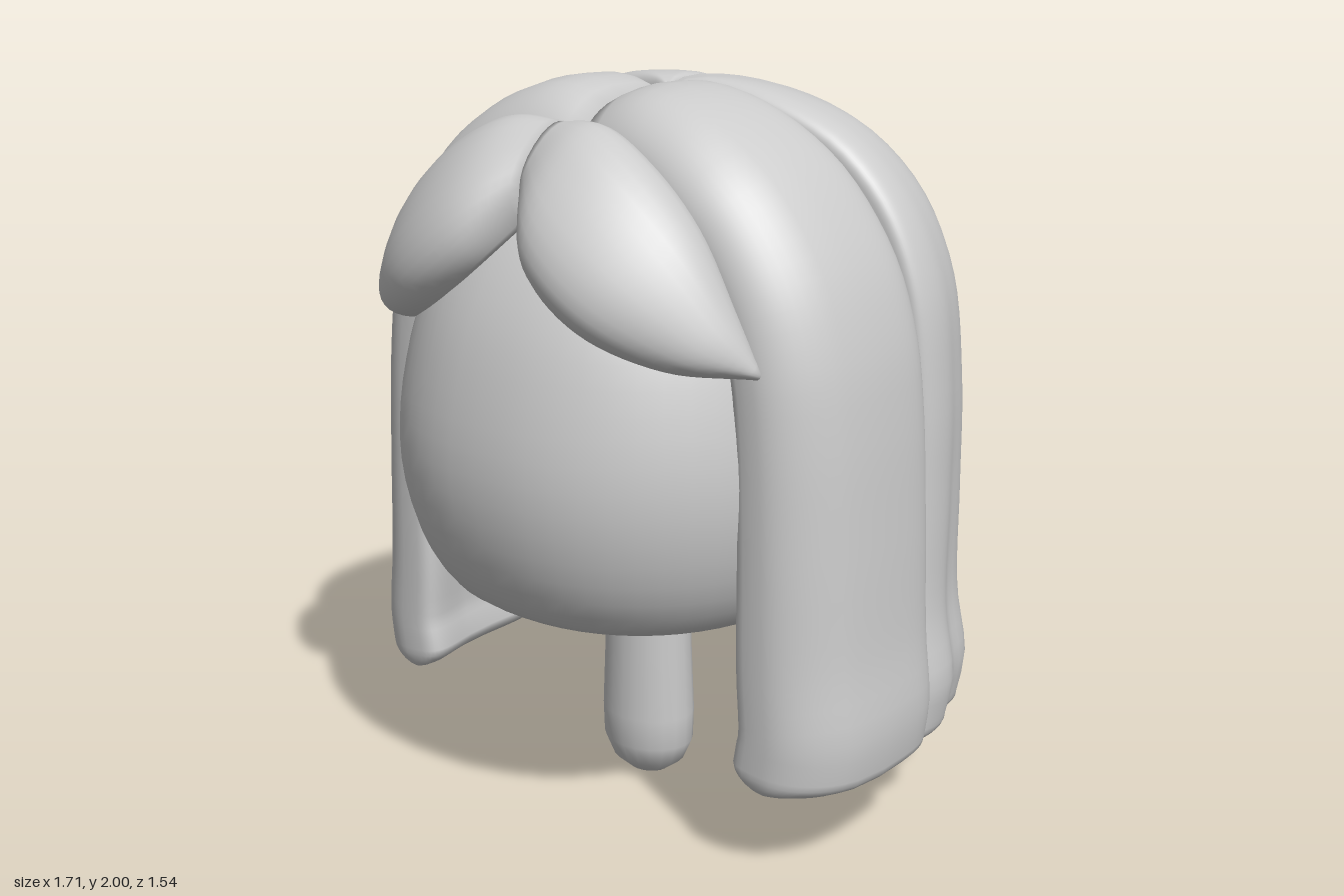
import * as THREE from 'three';

const material = new THREE.MeshStandardMaterial({ color: 0xcccccc, side: THREE.DoubleSide });
const V = (x, y, z = 0) => new THREE.Vector3(x, y, z);
const curve = pts => new THREE.CatmullRomCurve3(pts.map(p => V(...p)));
// signed power, turns a circle into a rounded box outline
const sup = (c, e) => Math.sign(c) * Math.abs(c) ** (2 / e);

// Closed skin over rings of points, capped at both ends; mirror = -1 flips x
function loft(name, rows, cols, point, mirror = 1) {
  const pos = [], idx = [], rings = [];
  for (let i = 0; i <= rows; i++) {
    const ring = [];
    for (let j = 0; j < cols; j++) ring.push(point(i, (j / cols) * Math.PI * 2));
    rings.push(ring);
    ring.forEach(p => pos.push(p.x * mirror, p.y, p.z));
  }
  for (let i = 0; i < rows; i++) for (let j = 0; j < cols; j++) {
    const k = (j + 1) % cols, a = i * cols + j, b = i * cols + k;
    idx.push(a, b, a + cols, b, b + cols, a + cols);
  }
  for (const [r, flip] of [[0, true], [rows, false]]) {
    const c = V(0, 0);
    rings[r].forEach(p => c.addScaledVector(p, 1 / cols));
    const n = pos.length / 3;
    pos.push(c.x * mirror, c.y, c.z);
    for (let j = 0; j < cols; j++) {
      const a = r * cols + j, b = r * cols + (j + 1) % cols;
      idx.push(...(flip ? [n, b, a] : [n, a, b]));
    }
  }
  // turn the faces outward if the enclosed volume is negative
  const at = i => V(pos[i * 3], pos[i * 3 + 1] - 1, pos[i * 3 + 2]);
  let volume = 0;
  for (let i = 0; i < idx.length; i += 3) volume += at(idx[i]).dot(at(idx[i + 1]).cross(at(idx[i + 2])));
  if (volume < 0) idx.reverse();
  const geo = new THREE.BufferGeometry();
  geo.setAttribute('position', new THREE.Float32BufferAttribute(pos, 3));
  geo.setIndex(idx);
  geo.computeVertexNormals();
  const mesh = new THREE.Mesh(geo, material);
  mesh.name = name;
  return mesh;
}

// Point and outward normal along a crown-to-hem profile, with a rounded hem
const ROWS = 46, HEM = 6;
function along(profile, i) {
  const t = Math.min(1, i / (ROWS - HEM));
  const a = Math.max(0, (i - ROWS + HEM) / HEM) * Math.PI / 2;
  const p = profile.getPointAt(t), d = profile.getTangentAt(t);
  const n = V(-d.y * Math.min(1, t * 5), d.x).normalize();
  p.y -= 0.065 * Math.sin(a);
  return { t, p, n, shrink: Math.max(0.02, Math.cos(a)) };
}

const lockProfile = curve([[0, 1.955], [0.06, 1.985], [0.15, 2], [0.28, 1.975], [0.42, 1.91], [0.56, 1.8],
  [0.7, 1.6], [0.77, 1.4], [0.8, 1.2], [0.82, 0.9], [0.835, 0.6], [0.855, 0.4], [0.845, 0.295]]);
const backProfile = curve([[0, 1.965], [0.06, 1.99], [0.2, 1.985], [0.36, 1.94], [0.5, 1.86], [0.63, 1.71],
  [0.715, 1.5], [0.75, 1.2], [0.757, 0.9], [0.762, 0.6], [0.79, 0.4], [0.775, 0.295]]);

// Front side lock: a thick band from the parting down past the cheek
function sideLock(name, m) {
  return loft(name, ROWS, 48, (i, a) => {
    const { t, p, n, shrink } = along(lockProfile, i);
    const h = 0.095 + 0.04 * t * t;
    const u = sup(Math.cos(a), 4) * (0.88 + 0.12 * shrink);
    const s = sup(Math.sin(a), 2.8) * shrink;
    const front = 0.39 + 0.05 * Math.min(1, p.x / 0.5), back = -0.01 - 0.13 * p.x;
    const off = -h + h * s - 0.09 * Math.max(0, u) ** 2;
    return V(Math.max(0, p.x + n.x * off), p.y + n.y * off, (front + back) / 2 + u * (front - back) / 2);
  }, m);
}

// Back quarter: a curved panel from the crown, from the side seam to the back seam
function backPanel(name, m) {
  const a0 = 0.15, a1 = Math.PI / 2;
  return loft(name, ROWS, 96, (i, a) => {
    const { t, p, n, shrink } = along(backProfile, i);
    const h = 0.07;
    const u = sup(Math.cos(a), 5);
    const s = sup(Math.sin(a), 3.2) * shrink;
    const th = (a0 + a1) / 2 + u * (a1 - a0) / 2;
    const strands = -0.022 * t * t * Math.abs(Math.cos(th * 8)) ** 6;
    const off = -h + h * s + strands;
    const r = Math.max(0, p.x + n.x * off);
    const c = Math.cos(th), z = Math.sin(th);
    const wide = 1 / (Math.abs(c / 1.075) ** 2.15 + z ** 2.15) ** (1 / 2.15);
    return V(r * wide * c, p.y + n.y * off, 0.02 - r * wide * z);
  }, m);
}

// Bang: a plump leaf swept from the parting to the temple
const bangTop = curve([[0, 1.88, 0.38], [0.14, 1.88, 0.39], [0.28, 1.81, 0.4], [0.42, 1.68, 0.4],
  [0.53, 1.5, 0.4], [0.6, 1.37, 0.4]]);
const bangLow = curve([[0, 1.7, 0.56], [0.1, 1.57, 0.66], [0.26, 1.45, 0.66], [0.44, 1.37, 0.56], [0.6, 1.35, 0.42]]);
function bang(name, m) {
  return loft(name, 28, 32, (i, a) => {
    const t = i / 28;
    const p = bangTop.getPoint(t).lerp(bangLow.getPoint(t), (1 - sup(Math.cos(a), 2.3)) / 2);
    const out = V(p.x * 0.7, p.y - 1.3, p.z - 0.05).normalize();
    const s = Math.sin(a), bulge = 0.05 + 0.1 * Math.sin(Math.PI * Math.min(1, t * 0.85 + 0.15)) ** 0.8;
    p.addScaledVector(out, bulge * (s > 0 ? s : s * 0.4));
    p.x = Math.max(0, p.x);
    return p;
  }, m);
}

// Head: stacked oval rings with a broad, flattened chin
function head() {
  const profile = curve([[0.03, 0.59], [0.5, 0.605], [0.78, 0.645], [0.9, 0.75], [0.975, 0.9], [1, 1.05],
    [0.975, 1.22], [0.88, 1.45], [0.7, 1.64], [0.4, 1.78], [0.02, 1.83]]);
  return loft('head', 40, 56, (i, a) => {
    const p = profile.getPointAt(i / 40);
    return V(0.64 * p.x * sup(Math.cos(a), 2.2), p.y, 0.1 + 0.68 * p.x * sup(Math.sin(a), 2.2));
  });
}

// Neck: a short rounded peg
function neck() {
  const pts = [[0.001, 0], [0.06, 0.012], [0.11, 0.05], [0.137, 0.11], [0.14, 0.2], [0.132, 0.4], [0.128, 0.7]];
  const mesh = new THREE.Mesh(new THREE.LatheGeometry(pts.map(p => new THREE.Vector2(...p)), 20), material);
  mesh.name = 'neck';
  mesh.scale.z = 0.83;
  mesh.position.set(-0.01, 0, 0.095);
  return mesh;
}

export function createModel() {
  const group = new THREE.Group();
  group.name = 'headWithHair';
  group.add(head(), neck());
  for (const [side, m] of [['left', 1], ['right', -1]]) {
    group.add(sideLock(side + 'SideLock', m), backPanel(side + 'BackHair', m), bang(side + 'Bang', m));
  }
  return group;
}
